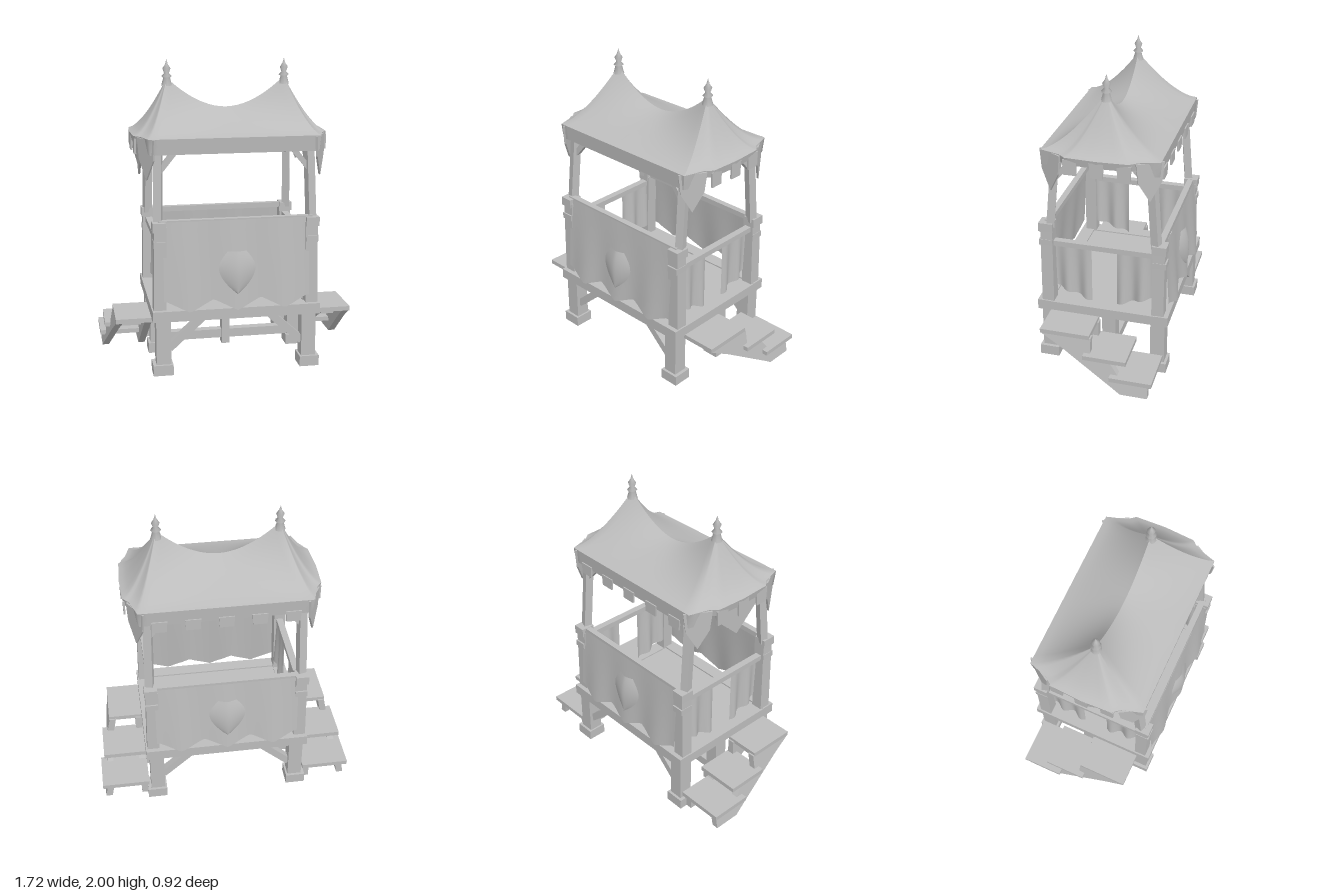
import * as THREE from 'three';

const grey = new THREE.MeshStandardMaterial({ color: 0xbcbcbc, side: THREE.DoubleSide });
grey.name = 'plain grey';

export function createModel() {
  const model = new THREE.Group();
  model.name = 'canopyStand';

  const add = (name, geo, x = 0, y = 0, z = 0) => {
    const m = new THREE.Mesh(geo, grey);
    m.name = name;
    m.position.set(x, y, z);
    model.add(m);
    return m;
  };
  // box given by its two opposite corners
  const box = (name, x0, x1, y0, y1, z0, z1) =>
    add(name, new THREE.BoxGeometry(Math.abs(x1 - x0), y1 - y0, Math.abs(z1 - z0)),
      (x0 + x1) / 2, (y0 + y1) / 2, (z0 + z1) / 2);
  // square timber between two points
  const beam = (name, a, b, w, d = w) => {
    const A = new THREE.Vector3(...a), B = new THREE.Vector3(...b);
    const m = add(name, new THREE.BoxGeometry(w, d, A.distanceTo(B)));
    m.position.copy(A).lerp(B, 0.5);
    m.lookAt(B);
    return m;
  };
  // cloth sheet: a point for every u, v in 0..1
  const sheet = (name, nu, nv, fn) => {
    const g = new THREE.PlaneGeometry(1, 1, nu, nv), p = g.attributes.position;
    for (let i = 0; i < p.count; i++) p.setXYZ(i, ...fn(p.getX(i) + 0.5, 0.5 - p.getY(i)));
    g.computeVertexNormals();
    return add(name, g);
  };
  // thin outline plate, turned about the upright axis
  const plate = (name, pts, depth, pos, turn = 0) => {
    const s = new THREE.Shape(pts.map(([a, b]) => new THREE.Vector2(a, b)));
    const g = new THREE.ExtrudeGeometry(s, { depth, bevelEnabled: false });
    g.translate(0, 0, -depth / 2);
    g.rotateY(turn);
    return add(name, g, ...pos);
  };
  const SIDE = -Math.PI / 2;

  // deck: frame timbers and recessed floor
  for (const s of [-1, 1]) {
    box('deckFrameLong', -0.55, 0.55, 0.365, 0.435, s * 0.44, s * 0.35);
    box('deckFrameShort', s * 0.55, s * 0.46, 0.367, 0.433, -0.43, 0.43);
  }
  box('floor', -0.47, 0.47, 0.385, 0.425, -0.36, 0.36);

  // four corner posts with feet, collars and braces; the back ones are capped lower
  for (const sx of [-1, 1]) for (const sz of [-1, 1]) {
    const x = sx * 0.49, z = sz * 0.37, cap = sz > 0 ? 1.01 : 0.945;
    box('foot', sx * 0.55, sx * 0.42, 0, 0.07, sz * 0.435, sz * 0.305);
    beam('leg', [sx * 0.48, 0.05, z], [sx * 0.48, 0.37, z], 0.095);
    beam('lowerPost', [sx * 0.5, 0.43, z], [x, cap - 0.03, z], 0.08);
    box('postCollar', sx * 0.535, sx * 0.455, cap - 0.16, cap - 0.12, sz * 0.42, sz * 0.33);
    box('postCap', sx * 0.54, sx * 0.455, cap - 0.06, cap, sz * 0.42, sz * 0.325);
    beam('upperPost', [sx * 0.5, cap - 0.03, sz * 0.35], [sx * 0.487, 1.5, sz * 0.305], 0.052);
    beam('legBrace', [sx * 0.44, 0.17, z], [sx * 0.22, 0.37, z], 0.05);
    beam('roofBraceAcross', [sx * 0.485, 1.32, sz * 0.315], [sx * 0.37, 1.46, sz * 0.305], 0.035);
    beam('roofBraceAlong', [sx * 0.487, 1.32, sz * 0.315], [sx * 0.487, 1.46, sz * 0.19], 0.035);
  }

  // middle legs and the underframe between them
  for (const s of [-1, 1]) {
    box('middleFoot', s * 0.54, s * 0.425, 0, 0.07, -0.1, 0.02);
    beam('middleLeg', [s * 0.48, 0.05, -0.04], [s * 0.48, 0.38, -0.04], 0.09);
  }
  beam('upperStretcher', [-0.45, 0.31, -0.04], [0.45, 0.31, -0.04], 0.06);
  beam('lowerStretcher', [-0.45, 0.1, -0.04], [0.45, 0.1, -0.04], 0.06);
  box('middlePost', -0.028, 0.028, 0.03, 0.39, -0.08, 0);

  // rails and roof beams
  for (const s of [-1, 1]) {
    const y = s > 0 ? 1.0 : 0.925;
    beam('longRail', [-0.5, y, s * 0.37], [0.5, y, s * 0.37], 0.04, 0.036);
    beam('sideRail', [s * 0.49, 0.86, -0.38], [s * 0.49, 0.86, 0.38], 0.045, 0.036);
    beam('roofBeamLong', [-0.5, 1.47, s * 0.305], [0.5, 1.47, s * 0.305], 0.04);
    beam('roofBeamShort', [s * 0.485, 1.47, -0.31], [s * 0.485, 1.47, 0.31], 0.04);
  }

  // long drapes with zigzag hem, each with a ridged shield
  const drapeZ = (x, y) => {
    const v = (1 - y) / 0.575;
    return 0.395 + 0.05 * v + 0.01 * v * Math.cos(x * 2 * Math.PI / 0.31);
  };
  for (const s of [-1, 1]) {
    const top = s > 0 ? 1.01 : 0.935;
    sheet('drape', 48, 8, (u, v) => {
      const x = (u - 0.5) * 0.95;
      const tri = Math.abs(((Math.abs(x) / 0.31 + 0.5) % 1) - 0.5) * 2; // 0 at the points
      const y = top + (0.425 + 0.075 * tri - top) * v;
      return [x, y, s * drapeZ(x, y)];
    });
    sheet('shield', 16, 12, (u, v) => {
      const a = u * 2 - 1;
      const w = v < 0.4 ? 0.06 + 0.06 * Math.sin(v / 0.4 * Math.PI / 2)
        : 0.12 * (1 - ((v - 0.4) / 0.6) ** 1.8);
      const y = 0.81 - 0.28 * v;
      const swell = 0.006 + 0.024 * Math.sin(Math.PI * Math.min(1, 0.15 + v * 0.85));
      return [a * w, y, s * (drapeZ(a * w, y) + 0.002 + swell * (1 - Math.abs(a) ** 1.4))];
    });
  }

  // gathered curtains beside each entrance
  for (const sx of [-1, 1]) for (const sz of [-1, 1])
    sheet('sideCurtain', 20, 6, (u, v) => {
      const hem = 0.44 + 0.08 * u;
      return [sx * (0.475 + 0.018 * Math.sin(u * 12) * (0.3 + 0.7 * v)),
        0.85 + (hem - 0.85) * v, sz * (0.085 + 0.25 * u)];
    });

  // side stairs going down towards the back
  const tread = (name, s, x1, y, z0, z1) => box(name, s * 0.54, s * x1, y - 0.03, y, z0, z1);
  const stringer = [[0.35, 0.35], [0.01, 0.35], [0.01, 0.23], [-0.12, 0.21],
    [-0.2, 0.1], [-0.38, 0.1], [-0.38, 0], [-0.2, 0], [-0.14, 0.04], [0.2, 0.26], [0.34, 0.34]];
  for (const s of [-1, 1]) {
    tread('topStep', s, 0.78, 0.37, 0.02, 0.35);
    tread('middleStep', s, 0.835, 0.25, -0.235, 0.05);
    tread('bottomStep', s, 0.86, 0.13, -0.41, -0.13);
    plate('innerStringer', stringer, 0.045, [s * 0.57, 0, 0], SIDE);
    const outer = plate('outerStringer', stringer, 0.045, [0, 0, 0], SIDE);
    // splay the outer side towards the ground
    const p = outer.geometry.attributes.position;
    for (let i = 0; i < p.count; i++) p.setX(i, p.getX(i) + s * (0.822 - 0.19 * p.getY(i)));
    outer.geometry.computeVertexNormals();
  }

  // sagging tent roof: rings from the ridge line down to the eave
  const corners = [[0.55, 0.38], [0.59, 0.25], [0.63, 0.2], [0.64, 0], [0.63, -0.2], [0.59, -0.25],
    [0.55, -0.38], [-0.55, -0.38], [-0.59, -0.25], [-0.63, -0.2], [-0.64, 0], [-0.63, 0.2],
    [-0.59, 0.25], [-0.55, 0.38], [0.55, 0.38]];
  const eave = [];
  for (let i = 0; i < corners.length - 1; i++) {
    const [ax, az] = corners[i], [bx, bz] = corners[i + 1];
    const n = Math.abs(ax - bx) > 1 ? 20 : 3;
    for (let k = 0; k < n; k++) eave.push([ax + (bx - ax) * k / n, az + (bz - az) * k / n]);
  }
  eave.push(eave[0]);
  const n = eave.length - 1;
  sheet('roof', n, 10, (u, v) => {
    const [ex, ez] = eave[Math.round(u * n)];
    const rx = THREE.MathUtils.clamp(ex * 0.39 / 0.55, -0.39, 0.39);
    const k = Math.abs(rx) / 0.39;
    const top = 1.685 + 0.195 * k ** 1.9;
    const f = (1 - v) ** (1.2 + 0.33 * k);
    return [rx + (ex - rx) * v, 1.535 + (top - 1.535) * f, ez * v];
  });

  // hanging edge below the eave
  sheet('roofEdge', n, 2, (u, v) => {
    const [ex, ez] = eave[Math.round(u * n)];
    const drop = Math.abs(ex) > 0.57 ? 0.05 : 0.1;
    return [ex * (1 - 0.015 * v), 1.535 - drop * v, ez * (1 - 0.02 * v)];
  });
  const tab = (w, y0, y1) => [[-w, y0], [w, y0], [w * 0.9, y1], [-w * 0.9, y1]];
  for (let i = -2; i <= 2; i++)
    plate('backTab', tab(0.05, 1.46, 1.385), 0.012, [i * 0.21, 0, -0.376]);
  const flap = [[-0.09, 1.53], [0.09, 1.53], [0.075, 1.4], [0, 1.27], [-0.075, 1.4]];
  for (const s of [-1, 1]) {
    for (const z of [-0.17, 0, 0.17])
      plate('sideTab', tab(0.045, 1.52, 1.42), 0.012, [s * (z ? 0.622 : 0.63), 0, z], SIDE);
    // pointed flaps wrapped across the corners
    for (const sz of [-1, 1])
      plate('cornerFlap', flap, 0.012, [s * 0.56, 0, sz * 0.315], s * sz * Math.PI * 0.33);
  }
  plate('pointedFlap', [[-0.2, 1.52], [0.2, 1.52], [0.17, 1.41], [0, 1.25], [-0.17, 1.41]],
    0.012, [-0.58, 0, 0], SIDE);

  // finials
  const profile = [[0.036, 1.83], [0.022, 1.88], [0.034, 1.89], [0.016, 1.91],
    [0.027, 1.94], [0.01, 1.965], [0, 2.0]].map(([r, y]) => new THREE.Vector2(r, y));
  for (const s of [-1, 1]) add('finial', new THREE.LatheGeometry(profile, 8), s * 0.39, 0, 0);

  return model;
}
